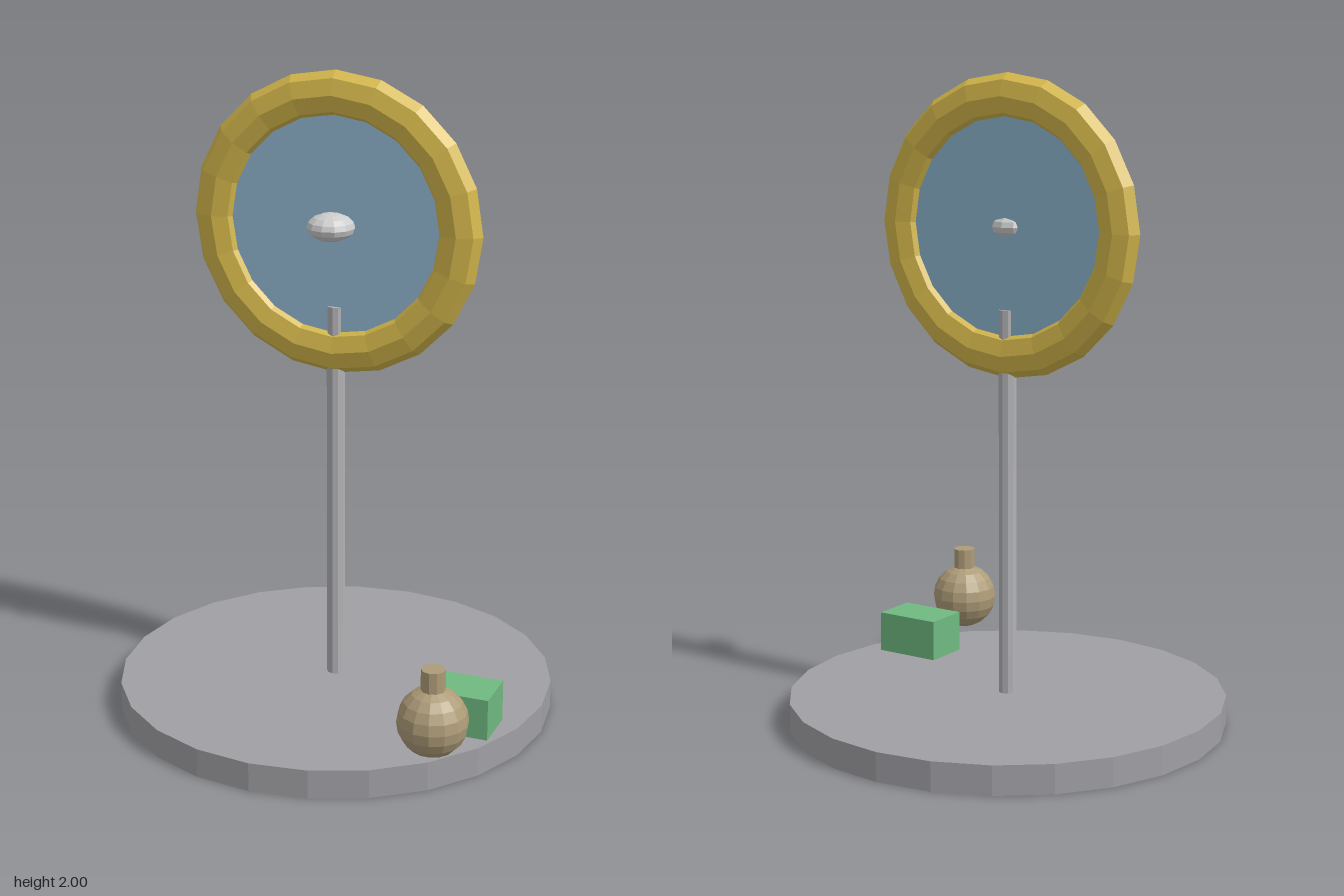
import * as THREE from 'three';

const paint = (name, color) => {
  const m = new THREE.MeshStandardMaterial({ color, flatShading: true });
  m.name = name;
  return m;
};

export function createModel() {
  const group = new THREE.Group();
  group.name = 'standMirror';

  const stone = paint('grey base', 0xa09fa4);
  const steel = paint('steel', 0xb2b2b6);
  const silver = paint('pale silver', 0xcccccc);
  const gold = paint('gold', 0xd6b94c);
  const glass = paint('blue glass', 0x90b7d0);
  const green = paint('green', 0x70b981);
  const tan = paint('tan', 0xae9c78);

  const add = (name, geometry, material, x, y, z) => {
    const mesh = new THREE.Mesh(geometry, material);
    mesh.name = name;
    mesh.position.set(x, y, z);
    group.add(mesh);
    return mesh;
  };

  // round base and post
  add('base', new THREE.CylinderGeometry(0.68, 0.68, 0.09, 24), stone, 0, 0.045, 0);
  add('post', new THREE.CylinderGeometry(0.028, 0.028, 1.29, 10), steel, 0, 0.645, 0);

  // framed disc with a flattened knob through its middle
  const centreY = 1.54;
  const frame = add('frame', new THREE.TorusGeometry(0.39, 0.07, 8, 20), gold, 0, centreY, 0);
  frame.scale.z = 0.6;
  const disc = add('disc', new THREE.CylinderGeometry(0.345, 0.345, 0.03, 24), glass, 0, centreY, 0);
  disc.rotation.x = Math.PI / 2;
  const knob = add('knob', new THREE.SphereGeometry(0.074, 12, 8), silver, 0, centreY, 0.039);
  knob.scale.y = 0.57;

  // small items at the side of the base
  add('box', new THREE.BoxGeometry(0.215, 0.13, 0.148), green, 0.49, 0.154, 0.212);
  add('flaskBody', new THREE.SphereGeometry(0.106, 14, 10), tan, 0.49, 0.22, 0.47);
  add('flaskNeck', new THREE.CylinderGeometry(0.036, 0.036, 0.08, 10), tan, 0.49, 0.344, 0.47);

  return group;
}
